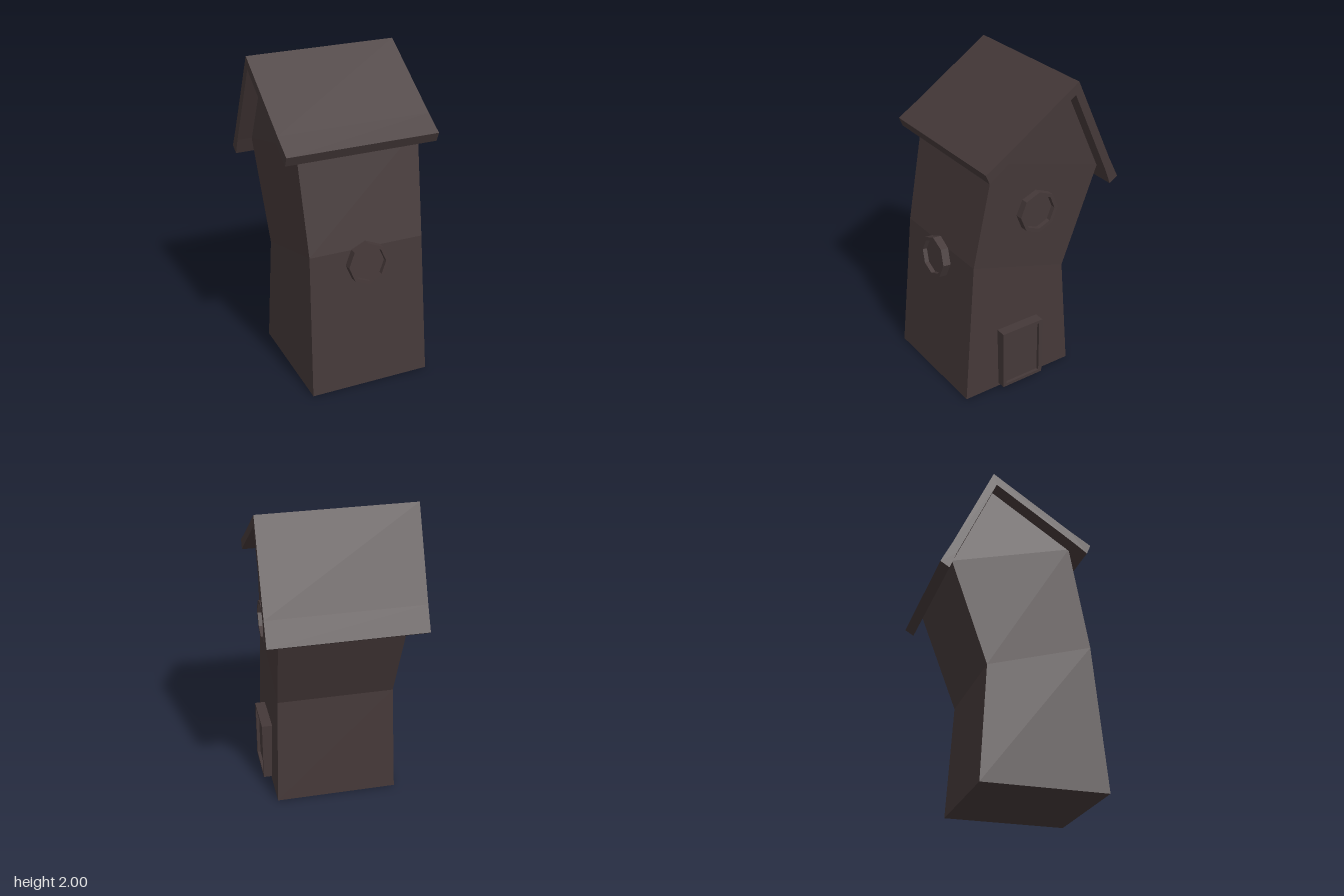
import * as THREE from 'three';

const darkWood = new THREE.MeshStandardMaterial({ color: 0x443838 });
darkWood.name = 'darkWood';

function add(parent, name, geometry) {
  const mesh = new THREE.Mesh(geometry, darkWood);
  mesh.name = name;
  parent.add(mesh);
  return mesh;
}

const toPoints = (list) => list.map(([x, y]) => new THREE.Vector2(x, y));
const extrude = (shape, depth) => new THREE.ExtrudeGeometry(shape, { depth, bevelEnabled: false });

// Crooked tower: each level is front [z, y], back [z, y], left x, right x
function bodyGeometry() {
  const levels = [
    { f: [0.54, 0], b: [-0.25, 0], l: 0.405, r: -0.385 },
    { f: [0.458, 0.93], b: [-0.205, 0.73], l: 0.383, r: -0.367 },
    { f: [0.325, 1.595], b: [-0.44, 1.38], l: 0.402, r: -0.392 },
    { f: [-0.186, 1.93], b: [-0.186, 1.93], l: 0.402, r: -0.392 },
  ];
  const rings = levels.map(({ f, b, l, r }) => [
    [r, f[1], f[0]], [l, f[1], f[0]], [l, b[1], b[0]], [r, b[1], b[0]],
  ]);
  const pos = [];
  const quad = (a, b, c, d) => pos.push(...a, ...b, ...c, ...a, ...c, ...d);
  for (let i = 0; i < rings.length - 1; i++) {
    for (let k = 0; k < 4; k++) {
      const n = (k + 1) % 4;
      quad(rings[i][k], rings[i][n], rings[i + 1][n], rings[i + 1][k]);
    }
  }
  quad(rings[0][3], rings[0][2], rings[0][1], rings[0][0]);
  const g = new THREE.BufferGeometry();
  g.setAttribute('position', new THREE.Float32BufferAttribute(pos, 3));
  g.computeVertexNormals();
  return g;
}

// Bent roof sheet, profile as [-z, y], extruded across x
function roofGeometry() {
  const shape = new THREE.Shape(toPoints([
    [-0.435, 1.585], [-0.41, 1.525], [-0.3, 1.603], [0.185, 1.922], [0.435, 1.38], [0.478, 1.273],
    [0.535, 1.308], [0.46, 1.455], [0.205, 2], [-0.3, 1.668],
  ]));
  const g = extrude(shape, 0.977);
  g.rotateY(Math.PI / 2);
  g.translate(-0.49, 0, 0);
  return g;
}

// Frame with a recessed panel; its outer face lies at local z = 0
function framedPanel(name, outer, inner, recess) {
  const group = new THREE.Group();
  group.name = name;
  const rim = new THREE.Shape(toPoints(outer));
  rim.holes.push(new THREE.Path(toPoints(inner)));
  add(group, name + 'Frame', extrude(rim, 0.08)).position.z = -0.08;
  add(group, name + 'Panel', extrude(new THREE.Shape(toPoints(inner)), 0.05)).position.z = -0.05 - recess;
  return group;
}

const octagon = (r) => Array.from({ length: 8 }, (_, i) => {
  const a = (i * Math.PI) / 4;
  return [r * Math.cos(a), r * Math.sin(a)];
});
const rectangle = (w, h) => [[-w, -h], [w, -h], [w, h], [-w, h]];

export function createModel() {
  const model = new THREE.Group();
  model.name = 'crookedHouse';
  add(model, 'tower', bodyGeometry());
  add(model, 'roof', roofGeometry());

  // Round window on the front, leaning with the wall
  const frontWindow = framedPanel('frontWindow', octagon(0.135), octagon(0.112), 0.03);
  frontWindow.position.set(0, 0.842, 0.518);
  frontWindow.rotation.x = -0.092;
  model.add(frontWindow);

  // Round window and door on the left wall
  const sideWindow = framedPanel('sideWindow', octagon(0.135), octagon(0.112), 0.03);
  sideWindow.position.set(0.44, 1.203, 0.022);
  sideWindow.rotation.y = Math.PI / 2;
  model.add(sideWindow);

  const door = framedPanel('door', rectangle(0.15, 0.204), rectangle(0.125, 0.184), 0.02);
  door.position.set(0.46, 0.225, 0.145);
  door.rotation.y = Math.PI / 2;
  model.add(door);
  return model;
}
